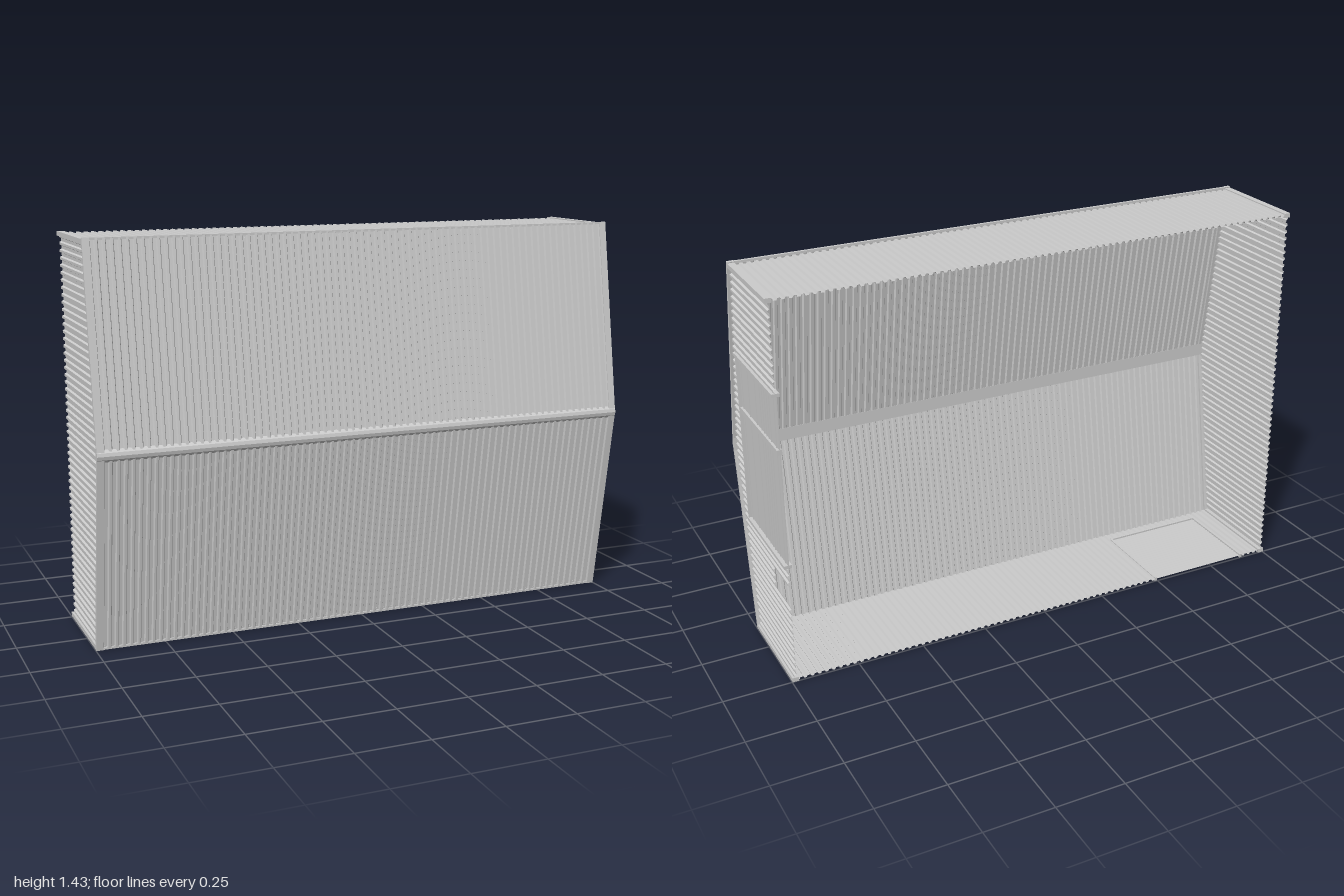
import * as THREE from 'three';

const X = 0.992;                       // outer face of the gable walls
const Y0 = 0.012, Y1 = 1.42, YM = 0.716; // eave walls and ridge line
const BASE = -0.255, EAVE = 0.133, APEX = 0.247;
const PITCH = 0.0263, RIB = 0.007;
const roofZ = y => APEX - (APEX - EAVE) * Math.abs(y - YM) / (YM - Y0);

const mat = new THREE.MeshStandardMaterial({
  color: 0xcccccc, flatShading: true, side: THREE.DoubleSide
});

export function createModel() {
  const group = new THREE.Group();

  function add(name, geometry, parent = group) {
    const mesh = new THREE.Mesh(geometry, mat);
    mesh.name = name;
    parent.add(mesh);
    return mesh;
  }

  // box from its minimum and maximum along each axis
  function box(name, x0, x1, y0, y1, z0, z1) {
    const mesh = add(name, new THREE.BoxGeometry(x1 - x0, y1 - y0, z1 - z0));
    mesh.position.set((x0 + x1) / 2, (y0 + y1) / 2, (z0 + z1) / 2);
    return mesh;
  }

  // ribbed sheet: t runs across the ribs, low/high give both rib ends,
  // place(t, s, h) maps to a point where h is the rib height
  function sheet(name, t0, t1, low, high, place, pitch = PITCH, depth = RIB) {
    const count = Math.max(1, Math.round((t1 - t0) / pitch));
    const step = (t1 - t0) / count;
    const profile = [[0, 0], [0.2, 0], [0.34, 1], [0.66, 1], [0.8, 0]];
    const line = [];
    for (let i = 0; i < count; i++) {
      for (const [u, h] of profile) line.push([t0 + (i + u) * step, h * depth]);
    }
    line.push([t1, 0]);
    const positions = [], index = [];
    line.forEach(([t, h], i) => {
      positions.push(...place(t, low(t), h), ...place(t, high(t), h));
      if (i) {
        const a = 2 * i - 2;
        index.push(a, a + 2, a + 1, a + 1, a + 2, a + 3);
      }
    });
    const geometry = new THREE.BufferGeometry();
    geometry.setAttribute('position', new THREE.Float32BufferAttribute(positions, 3));
    geometry.setIndex(index);
    geometry.computeVertexNormals();
    return add(name, geometry);
  }
  const fixed = v => () => v;

  // two roof slopes meeting at the ridge
  for (const side of [-1, 1]) {
    sheet(side > 0 ? 'upperRoofSlope' : 'lowerRoofSlope', -X, X, fixed(0), fixed(1),
      (t, s, h) => {
        const y = YM + side * s * (YM - 0.004);
        return [t, y, roofZ(y) - 0.002 + h];
      });
  }

  // long eave walls; the lower one has a door opening
  const DX0 = -0.89, DX1 = -0.49, DZ = 0.09;
  const topWall = (t, s, h) => [t, Y1 - RIB + h, s];
  const lowWall = (t, s, h) => [t, Y0 + RIB - h, s];
  sheet('upperWall', -X, X, fixed(BASE), fixed(EAVE), topWall);
  sheet('lowerWall', -X, DX0, fixed(BASE), fixed(EAVE), lowWall);
  sheet('lowerWallOverDoor', DX0, DX1, fixed(DZ), fixed(EAVE), lowWall);
  sheet('lowerWall', DX1, X, fixed(BASE), fixed(EAVE), lowWall);

  // roller door in the lower wall, with its frame
  sheet('rollerDoor', BASE, DZ, fixed(DX0), fixed(DX1),
    (t, s, h) => [s, Y0 + 0.005 - h, t], 0.016, 0.003);
  for (const x of [DX0, DX1]) {
    box('rollerDoorJamb', x - 0.005, x + 0.005, 0.008, 0.022, BASE, DZ);
  }
  box('rollerDoorHead', DX0, DX1, 0.008, 0.022, DZ - 0.004, DZ + 0.004);

  // gable walls: plain on the right, door and window openings on the left
  const gable = dir => (t, s, h) => [dir * (X - RIB + h), t, s];
  sheet('rightGableWall', Y0, Y1, fixed(BASE), roofZ, gable(-1));
  const sections = [
    [Y0, 0.305, BASE], [0.305, 0.385, -0.1], [0.385, 0.465, BASE],
    [0.465, 1.095, 0.137], [1.095, Y1, BASE]
  ];
  for (const [a, b, low] of sections) {
    sheet('leftGableWall', a, b, fixed(low), roofZ, gable(1));
  }

  // large sliding door in the left gable
  box('slidingDoor', 0.982, 0.986, 0.465, 1.095, BASE, 0.137);
  for (const z of [0.112, 0.04, -0.034, -0.083, -0.108, -0.133, -0.158, -0.183, -0.233]) {
    box('slidingDoorSeam', 0.98, 0.989, 0.467, 1.093, z - 0.0015, z + 0.0015);
  }
  box('slidingDoorRail', 0.977, 0.995, 0.883, 0.902, BASE, 0.137);
  for (const y of [0.465, 1.095]) {
    box('slidingDoorJamb', 0.972, 1, y - 0.006, y + 0.006, BASE, 0.14);
  }
  box('slidingDoorHead', 0.974, 0.997, 0.465, 1.095, 0.132, 0.14);

  // ridge cap with a folded outer face and a flat underside
  const cap = new THREE.Shape();
  [[-0.02, 0.246], [-0.012, 0.253], [0, 0.256], [0.012, 0.253], [0.02, 0.246],
    [0.024, 0.236], [-0.024, 0.236]]
    .forEach(([y, z], i) => (i ? cap.lineTo(-z, y) : cap.moveTo(-z, y)));
  const ridge = add('ridgeCap', new THREE.ExtrudeGeometry(cap, { depth: 2, bevelEnabled: false }));
  ridge.rotation.y = Math.PI / 2;
  ridge.position.set(-1, YM, 0);

  // sloping trims over the gable edges, and corner trims
  const angle = Math.atan2(APEX - EAVE, YM - Y0);
  const length = Math.hypot(APEX - EAVE, YM - Y0) + 0.01;
  for (const dir of [-1, 1]) {
    for (const side of [-1, 1]) {
      const trim = add('gableEdgeTrim', new THREE.BoxGeometry(0.026, length, 0.012));
      trim.position.set(dir * 0.987, YM + side * (YM - Y0 + 0.006) / 2, (APEX + EAVE) / 2);
      trim.rotation.x = -side * angle;
      const y = side > 0 ? Y1 - 0.004 : Y0 + 0.002;
      box('cornerTrim', dir * 0.988 - 0.012, dir * 0.988 + 0.012,
        y - 0.008, y + 0.008, BASE, EAVE);
    }
  }

  // eave flashings along both long edges
  box('lowerEaveFlashing', -X, X, 0.004, 0.012, EAVE - 0.006, EAVE + 0.004);
  box('upperEaveFlashing', -X, X, 1.42, 1.428, EAVE - 0.006, EAVE + 0.004);

  return group;
}
